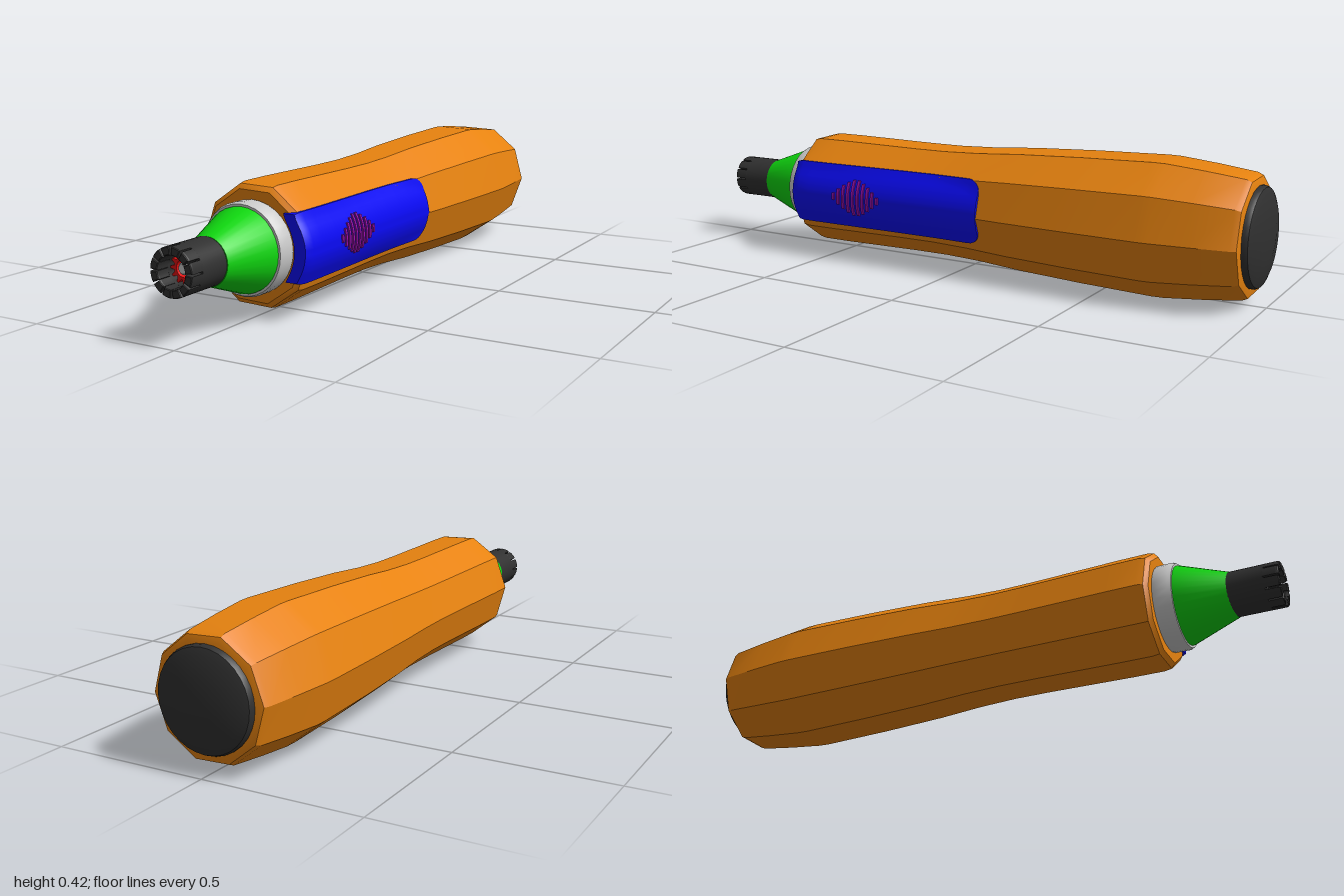
import * as THREE from 'three';
import { toCreasedNormals } from 'three/addons/utils/BufferGeometryUtils.js';

const AXIS_Y = 0.215;
const mat = (color) => new THREE.MeshStandardMaterial({ color, side: THREE.DoubleSide });
const ORANGE = mat(0xe6820f), BLUE = mat(0x0a0af5), GREEN = mat(0x0fd60f), BLACK = mat(0x303030);
const RED = mat(0xe01010), PURPLE = mat(0x9a10b0), GREY = mat(0xcccccc);

// Handle profile: [radius, z]
const HANDLE = [
  [0.165, -0.962], [0.184, -0.957], [0.192, -0.94], [0.207, -0.82], [0.219, -0.7], [0.22, -0.66],
  [0.213, -0.42], [0.203, -0.2], [0.192, -0.05], [0.187, 0.08], [0.187, 0.2], [0.189, 0.35],
  [0.191, 0.5], [0.191, 0.595], [0.187, 0.618], [0.172, 0.63],
];

function handleRadius(z) {
  for (let i = 1; i < HANDLE.length; i++) {
    const [r0, z0] = HANDLE[i - 1], [r1, z1] = HANDLE[i];
    if (z <= z1) return r0 + (r1 - r0) * Math.max(0, (z - z0) / (z1 - z0));
  }
  return HANDLE[HANDLE.length - 1][0];
}

// Turned part along z from [radius, z] points in ascending z
function turned(points, sides, crease = 0.5) {
  const geo = new THREE.LatheGeometry(points.map(([r, z]) => new THREE.Vector2(r, z)), sides, Math.PI / 2);
  geo.rotateX(Math.PI / 2);
  return toCreasedNormals(geo, crease);
}

// Height of the pad surface in x: bulged, and never below the ten-sided handle
function padX(dy, z) {
  const R = handleRadius(Math.min(z, 0.59)), a = Math.abs(dy);
  const facet = Math.min(R - 0.325 * a, 0.809 * R - 1.377 * (a - 0.588 * R));
  return Math.max(0.192 - 0.042 * (dy / 0.105) ** 2, facet * 0.975 + 0.004);
}

// Curved slab over the +x side from rows of [z, half height, lift]
function slab(rows, depth, centre = 0.008, n = 14) {
  const pos = [], idx = [], loop = 2 * n + 2;
  for (const [z, h, lift] of rows) {
    for (let k = 0; k < loop; k++) {
      const j = k <= n ? k : loop - 1 - k;
      const dy = centre + h * (2 * j / n - 1);
      pos.push(padX(dy, z) + lift - (k <= n ? 0 : depth), dy, z);
    }
  }
  const quad = (a, b, c, d) => idx.push(a, b, c, a, c, d);
  for (let i = 0; i < rows.length - 1; i++) {
    for (let k = 0; k < loop; k++) {
      const a = i * loop + k, b = i * loop + (k + 1) % loop;
      quad(a, b, b + loop, a + loop);
    }
  }
  const last = (rows.length - 1) * loop;
  for (let j = 0; j < n; j++) {
    const p = loop - 1 - j;
    quad(last + j, last + j + 1, last + p - 1, last + p);
    quad(p, p - 1, j + 1, j);
  }
  const geo = new THREE.BufferGeometry();
  geo.setAttribute('position', new THREE.Float32BufferAttribute(pos, 3));
  geo.setIndex(idx);
  return toCreasedNormals(geo, 0.6);
}

export function createModel() {
  const model = new THREE.Group();
  const add = (name, geo, material, parent = model) => {
    const mesh = new THREE.Mesh(geo, material);
    mesh.name = name;
    parent.add(mesh);
    return mesh;
  };

  // Ten-sided waisted handle, closed at both ends
  const handle = add('handle', turned([[0, -0.962], ...HANDLE, [0, 0.63]], 10), ORANGE);
  handle.rotation.z = -0.035;
  handle.scale.x = 0.978;

  // Slightly domed end cap
  add('endCap', turned([[0, -1], [0.07, -0.998], [0.13, -0.988], [0.15, -0.98], [0.155, -0.97], [0.155, -0.95]], 32), BLACK);

  // Collar and nose cone
  add('collar', turned([[0.133, 0.62], [0.139, 0.635], [0.139, 0.68], [0.134, 0.69], [0, 0.69]], 32), GREY);
  add('noseCone', turned([[0.127, 0.685], [0.127, 0.695], [0.071, 0.85], [0, 0.85]], 32), GREEN);

  // Thumb pad, rounded at both ends
  const rows = [[-0.112, 0.062, -0.004]];
  for (let i = 1; i <= 6; i++) {
    const a = (i / 6) * Math.PI / 2;
    rows.push([-0.112 + 0.045 * (1 - Math.cos(a)), 0.062 + 0.043 * Math.sin(a), 0]);
  }
  for (let z = 0; z < 0.59; z += 0.08) rows.push([z, 0.105, 0]);
  rows.push([0.605, 0.105, -0.001], [0.625, 0.103, -0.004], [0.636, 0.1, -0.01]);
  add('thumbPad', slab(rows, 0.038), BLUE);

  // Grip ribs forming a rounded diamond
  const ribs = new THREE.Group();
  ribs.name = 'gripRibs';
  model.add(ribs);
  for (let i = 0; i < 10; i++) {
    const z = 0.27 + i * 0.02, t = Math.abs(i - 4.5) / 4.5;
    const h = 0.012 + 0.05 * (1 - t ** 1.4);
    add('gripRib', slab([[z - 0.005, h, 0.005], [z + 0.005, h, 0.005]], 0.012, 0.01, 8), PURPLE, ribs);
  }

  // Hollow tip sleeve with a ring of teeth
  const tip = new THREE.Group();
  tip.name = 'tip';
  model.add(tip);
  add('tipSleeve', turned([[0.071, 0.84], [0.071, 0.955], [0.046, 0.955], [0.046, 0.88], [0, 0.88]], 36), BLACK, tip);
  const TEETH = 12, half = Math.PI / TEETH - 0.08;
  const tooth = new THREE.Shape();
  tooth.absarc(0, 0, 0.068, -half, half, false);
  tooth.absarc(0, 0, 0.049, half, -half, true);
  tooth.closePath();
  const toothGeo = new THREE.ExtrudeGeometry(tooth, {
    depth: 0.04, curveSegments: 4, bevelThickness: 0.007, bevelSize: 0.003, bevelSegments: 2,
  });
  for (let i = 0; i < TEETH; i++) {
    const mesh = add('tipTooth', toothGeo, BLACK, tip);
    mesh.position.z = 0.953;
    mesh.rotation.z = (i + 0.5) * 2 * Math.PI / TEETH;
  }

  // Star-shaped inner jaws around the centre pin
  const star = new THREE.Shape();
  for (let i = 0; i < TEETH * 4; i++) {
    const r = i % 4 < 2 ? 0.045 : 0.033, a = (i - 0.5) * Math.PI / (TEETH * 2);
    star[i ? 'lineTo' : 'moveTo'](r * Math.cos(a), r * Math.sin(a));
  }
  star.closePath();
  star.holes.push(new THREE.Path().absarc(0, 0, 0.025, 0, Math.PI * 2, true));
  const jaws = add('innerJaws', new THREE.ExtrudeGeometry(star, { depth: 0.065, bevelEnabled: false }), RED, tip);
  jaws.position.z = 0.88;
  add('jawBase', turned([[0.027, 0.88], [0.027, 0.92], [0, 0.92]], 24), RED, tip);
  add('centrePin', turned([[0.018, 0.88], [0.018, 0.945], [0.014, 0.95], [0, 0.95]], 20), GREY, tip);

  // Lift the whole tool so that it rests on the ground
  for (const part of model.children) part.position.y += AXIS_Y;
  tip.position.x = -0.003;
  return model;
}
